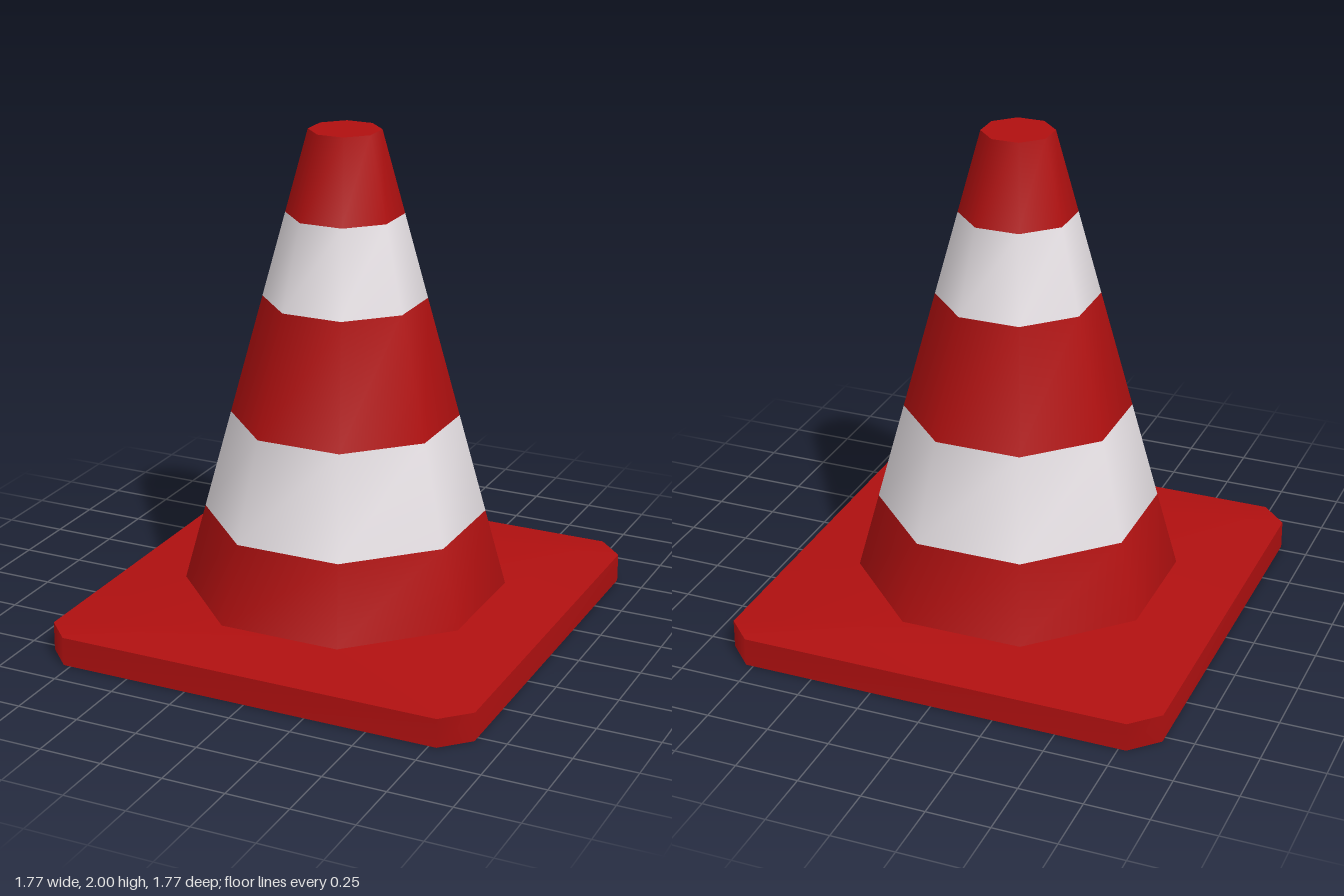
import * as THREE from 'three';

const red = new THREE.MeshStandardMaterial({ color: 0xb01010 });
red.name = 'cone red';
const white = new THREE.MeshStandardMaterial({ color: 0xeee8ec });
white.name = 'stripe white';

// Square of half-width h with its corners cut at c, as eight points at height y
function ring(h, c, y) {
  return [[c, h], [h, c], [h, -c], [c, -h], [-c, -h], [-h, -c], [-h, c], [-c, h]]
    .map(([x, z]) => [x, y, z]);
}

// Regular octagon of half-width h
const octagon = (h, y) => ring(h, h * Math.tan(Math.PI / 8), y);

// Smooth wall between two rings, facing outward from the lower to the upper
function wall(name, lower, upper, material) {
  const n = lower.length;
  const index = [];
  for (let i = 0; i < n; i++) {
    const j = (i + 1) % n;
    index.push(i, j, n + j, i, n + j, n + i);
  }
  const geometry = new THREE.BufferGeometry();
  geometry.setAttribute('position', new THREE.Float32BufferAttribute([...lower, ...upper].flat(), 3));
  geometry.setIndex(index);
  geometry.computeVertexNormals();
  const mesh = new THREE.Mesh(geometry, material);
  mesh.name = name;
  return mesh;
}

export function createModel() {
  const model = new THREE.Group();
  model.name = 'trafficCone';

  // Base plate: underside, rim and gently sloping top
  const base = new THREE.Group();
  base.name = 'basePlate';
  const foot = ring(0.885, 0.78, 0);
  const rim = ring(0.885, 0.78, 0.115);
  base.add(
    wall('baseUnderside', ring(0, 0, 0), foot, red),
    wall('baseRim', foot, rim, red),
    wall('baseTop', rim, octagon(0.592, 0.15), red)
  );
  model.add(base);

  // Tapered body in alternating bands
  const body = new THREE.Group();
  body.name = 'coneBody';
  const bottom = 0.15, top = 2;
  const at = (y) => octagon(THREE.MathUtils.mapLinear(y, bottom, top, 0.592, 0.13), y);
  const levels = [bottom, 0.462, 0.862, 1.34, 1.675, top];
  for (let i = 0; i < levels.length - 1; i++) {
    const striped = i % 2 === 1;
    body.add(wall((striped ? 'whiteStripe' : 'redBand') + i, at(levels[i]), at(levels[i + 1]), striped ? white : red));
  }

  // Flat tip
  body.add(wall('tipCap', at(top), ring(0, 0, top), red));
  model.add(body);

  return model;
}
